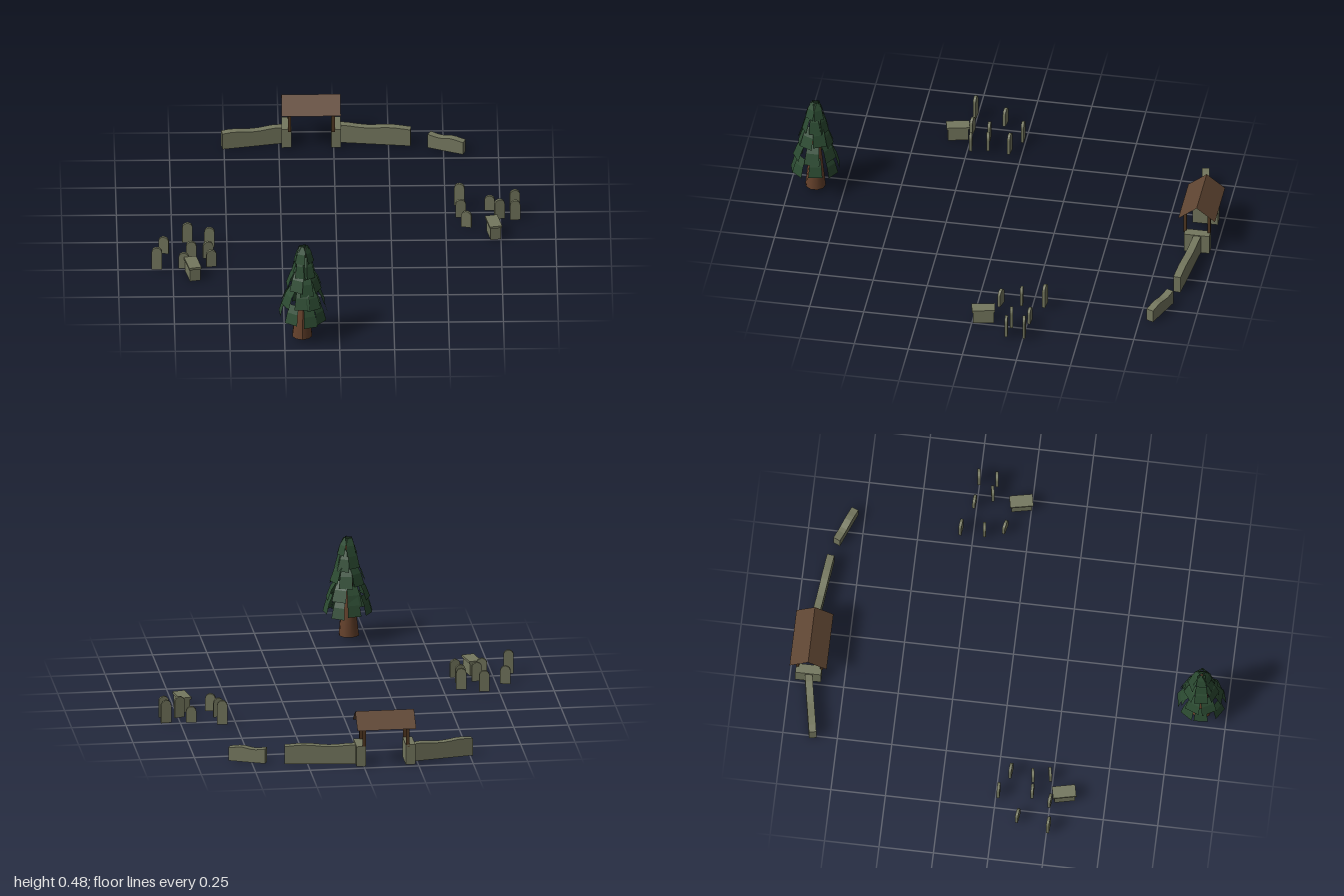
import * as THREE from 'three';

const mat = (name, color, side = THREE.FrontSide) => {
  const m = new THREE.MeshStandardMaterial({ color, side });
  m.name = name;
  return m;
};

export function createModel() {
  const stone = mat('mossy stone', 0x74775e);
  const roofWood = mat('roof wood', 0x5e4431, THREE.DoubleSide);
  const postWood = mat('post wood', 0x513822);
  const bark = mat('bark', 0x65412b);
  const needles = mat('needles', 0x2b4a31, THREE.DoubleSide);

  const model = new THREE.Group();
  model.name = 'churchyard';
  const group = (name, parent = model) => {
    const g = new THREE.Group();
    g.name = name;
    parent.add(g);
    return g;
  };
  const add = (name, geo, material, x, y, z, parent, yaw = 0) => {
    const m = new THREE.Mesh(geo, material);
    m.name = name;
    m.position.set(x, y, z);
    m.rotation.y = yaw;
    parent.add(m);
    return m;
  };
  const box = (w, h, d) => new THREE.BoxGeometry(w, h, d);
  const slab = (shape, depth, curveSegments = 5) =>
    new THREE.ExtrudeGeometry(shape, { depth, bevelEnabled: false, curveSegments }).translate(0, 0, -depth / 2);

  let seed = 7;
  const rand = () => (seed = (seed * 16807) % 2147483647) / 2147483647;

  // Boundary walls with a gently uneven top
  const walls = group('boundaryWalls');
  const wall = (name, x0, z0, x1, z1, height, phase) => {
    const len = Math.hypot(x1 - x0, z1 - z0);
    const s = new THREE.Shape();
    s.moveTo(-len / 2, 0);
    s.lineTo(len / 2, 0);
    for (let i = 8; i >= 0; i--) {
      s.lineTo(-len / 2 + (len * i) / 8, height + 0.004 * Math.sin(i * 1.1 + phase));
    }
    s.closePath();
    add(name, slab(s, 0.034), stone, (x0 + x1) / 2, 0, (z0 + z1) / 2, walls, -Math.atan2(z1 - z0, x1 - x0));
  };
  wall('rightWall', -0.51, -0.862, -0.235, -0.913, 0.08, 0);
  wall('leftWall', 0.03, -0.918, 0.352, -0.88, 0.087, 1.5);
  wall('brokenWallEnd', 0.435, -0.863, 0.595, -0.797, 0.066, 2);

  // Roofed gate: two piers, four posts, two thin roof slopes
  const gate = group('roofedGate');
  for (const side of [-1, 1]) {
    const cx = -0.102;
    add('gatePier', box(0.044, 0.095, 0.118), stone, cx + side * 0.113, 0.0475, -0.915, gate);
    for (const z of [-0.857, -0.967]) {
      add('gatePost', box(0.014, 0.1, 0.014), postWood, cx + side * 0.1, 0.135, z, gate);
    }
    const run = 0.085, rise = 0.067;
    const slope = add('roofSlope', new THREE.PlaneGeometry(0.27, Math.hypot(run, rise)), roofWood,
      cx - 0.001, 0.2125, -0.915 + (side * run) / 2, gate);
    slope.rotation.x = -side * Math.atan2(run, rise) + (side < 0 ? Math.PI : 0);
  }

  // Round-topped headstones: x, z, height, yaw
  const headstone = (parent, x, z, h, yaw) => {
    const r = 0.0235;
    const s = new THREE.Shape();
    s.moveTo(-r, 0);
    s.lineTo(r, 0);
    s.lineTo(r, h - r);
    s.absarc(0, h - r, r, 0, Math.PI, false);
    s.closePath();
    add('headstone', slab(s, 0.013, 4), stone, x, 0.008, z, parent, yaw);
  };
  // Box tombs with an overhanging lid
  const tomb = (parent, x, z, yaw) => {
    add('tombBody', box(0.048, 0.062, 0.094), stone, x, 0.031, z, parent, yaw);
    add('tombLid', box(0.057, 0.011, 0.106), stone, x, 0.0665, z, parent, yaw);
  };

  const rightGraves = group('rightGraves');
  for (const s of [
    [-0.68, 0.012, 0.1, 0], [-0.58, 0.056, 0.1, -0.1], [-0.79, 0.112, 0.085, -0.15],
    [-0.665, 0.165, 0.09, 0.03], [-0.588, 0.158, 0.085, 0.15], [-0.823, 0.257, 0.112, -0.08],
    [-0.7, 0.25, 0.08, -0.13], [-0.574, 0.236, 0.085, 0.15],
  ]) headstone(rightGraves, ...s);
  tomb(rightGraves, -0.66, 0.31, 0.22);

  const leftGraves = group('leftGraves');
  for (const s of [
    [0.565, -0.307, 0.113, -0.13], [0.702, -0.261, 0.075, -0.08], [0.817, -0.254, 0.108, 0.1],
    [0.569, -0.2, 0.09, 0.08], [0.746, -0.183, 0.1, 0.2], [0.817, -0.172, 0.1, 0.1],
    [0.594, -0.108, 0.082, -0.25],
  ]) headstone(leftGraves, ...s);
  tomb(leftGraves, 0.717, -0.048, 0.2);

  // Conifer: leaning tapered trunk, tiers of drooping bent boughs
  const tree = group('conifer');
  tree.position.set(-0.17, 0, 0.883);
  const trunk = new THREE.CylinderGeometry(0.006, 0.047, 0.43, 10, 4).translate(0, 0.23, 0);
  const p = trunk.attributes.position;
  for (let i = 0; i < p.count; i++) p.setX(i, p.getX(i) + 0.02 * p.getY(i));
  trunk.computeVertexNormals();
  add('trunk', trunk, bark, 0, 0, 0, tree);

  // A bough is a strip of three rows bending outwards and down
  const bough = (r0, r1, y0, y1, w) => {
    const g = new THREE.PlaneGeometry(w, 1, 1, 2);
    const pos = g.attributes.position;
    for (let i = 0; i < pos.count; i++) {
      const t = 0.5 - pos.getY(i);
      pos.setXYZ(i, pos.getX(i) * (0.75 + 0.3 * t),
        y0 + (y1 - y0) * Math.pow(t, 1.25), r0 + (r1 - r0) * Math.pow(t, 0.8));
    }
    const flat = g.toNonIndexed();
    flat.computeVertexNormals();
    return flat;
  };
  // Tiers: count, inner radius, outer radius, top, bottom, width
  const tiers = [
    [8, 0.078, 0.109, 0.212, 0.125, 0.062], [7, 0.052, 0.096, 0.275, 0.185, 0.068],
    [7, 0.034, 0.076, 0.36, 0.268, 0.062], [6, 0.022, 0.056, 0.43, 0.335, 0.055],
    [5, 0.012, 0.042, 0.482, 0.405, 0.045],
  ];
  tiers.forEach(([n, r0, r1, y0, y1, w], k) => {
    for (let i = 0; i < n; i++) {
      const dy = (rand() - 0.5) * (k === 4 ? 0.006 : 0.03);
      const angle = ((i + 0.4 * rand()) / n) * Math.PI * 2 + k * 0.5;
      add('bough', bough(r0, r1, y0 + dy, y1 + dy, w), needles, 0.006, 0, 0, tree, angle);
    }
  });

  return model;
}
